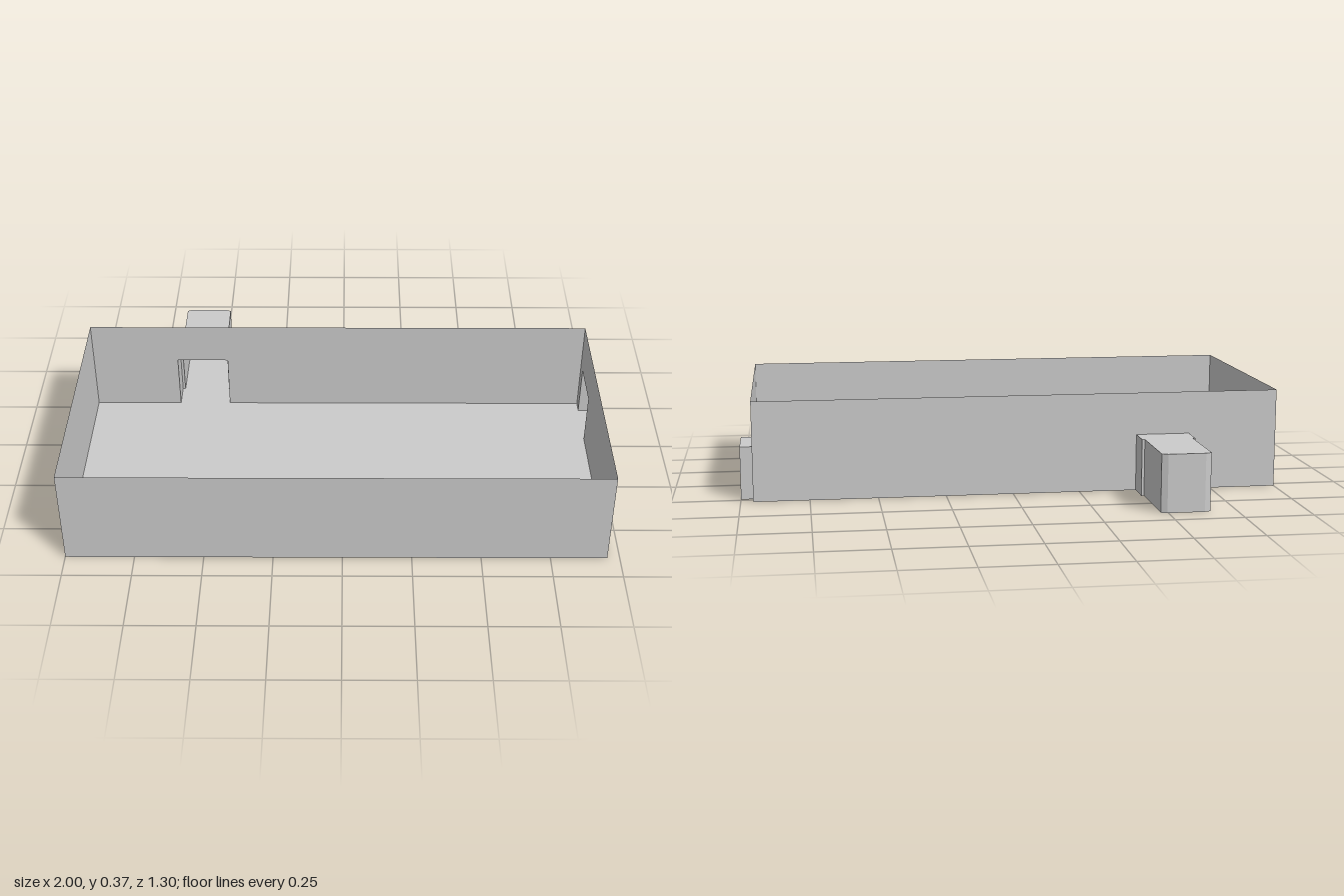
import * as THREE from 'three';
import { mergeGeometries } from 'three/addons/utils/BufferGeometryUtils.js';

const material = new THREE.MeshStandardMaterial({
  color: 0xcccccc, flatShading: true, side: THREE.DoubleSide,
});

const X0 = -1, X1 = 0.955, Z0 = -0.283, Z1 = 0.652, WALL_H = 0.37;

// Thin upright wall from plan point a to b, with an optional doorway [start, end, height]
function wall(a, b, height, door) {
  const length = Math.hypot(b[0] - a[0], b[1] - a[1]);
  const s = new THREE.Shape();
  s.moveTo(0, 0);
  if (door) {
    s.lineTo(door[0], 0);
    s.lineTo(door[0], door[2]);
    s.lineTo(door[1], door[2]);
    s.lineTo(door[1], 0);
  }
  s.lineTo(length, 0);
  s.lineTo(length, height);
  s.lineTo(0, height);
  const g = new THREE.ShapeGeometry(s);
  g.rotateY(-Math.atan2(b[1] - a[1], b[0] - a[0]));
  g.translate(a[0], 0, a[1]);
  return g;
}

// Flat slab of the plan outline at height y
function slab(points, y) {
  const s = new THREE.Shape(points.map(([x, z]) => new THREE.Vector2(x, -z)));
  const g = new THREE.ShapeGeometry(s);
  g.rotateX(-Math.PI / 2);
  g.translate(0, y, 0);
  return g;
}

function part(name, geometries) {
  const mesh = new THREE.Mesh(mergeGeometries(geometries), material);
  mesh.name = name;
  return mesh;
}

// Roofed recess: walls follow the outline, the side from last to first point stays open
function recess(name, points, height) {
  const sides = points.slice(1).map((p, i) => wall(points[i], p, height));
  return part(name, [...sides, slab(points, 0), slab(points, height)]);
}

export function createModel() {
  const group = new THREE.Group();
  group.name = 'room';

  // Open-topped room
  const corners = [[X0, Z0], [X1, Z0], [X1, Z1], [X0, Z1]];
  group.add(part('floor', [slab(corners, 0)]));
  const porchX = -0.564, porchHalf = 0.1, porchH = 0.212;
  const sideDoor = [-0.237, -0.05], sideH = 0.196;
  const doors = [
    [porchX - porchHalf - X0, porchX + porchHalf - X0, porchH],
    [sideDoor[0] - Z0, sideDoor[1] - Z0, sideH],
  ];
  ['backWall', 'leftWall', 'frontWall', 'rightWall'].forEach((name, i) => {
    group.add(part(name, [wall(corners[i], corners[(i + 1) % 4], WALL_H, doors[i])]));
  });

  // Rear passage: wide door frame, narrower corridor, chamfered end
  const half = [[porchHalf, Z0], [porchHalf, -0.38], [0.09, -0.38], [0.09, -0.643], [0.068, -0.652]];
  const passage = [
    ...half.map(([x, z]) => [porchX - x, z]),
    ...half.slice().reverse().map(([x, z]) => [porchX + x, z]),
  ];
  group.add(recess('rearPassage', passage, porchH));

  // Shallow door recess on the side wall
  group.add(recess('sideDoorRecess', [
    [X1, sideDoor[0]], [1, sideDoor[0]], [1, sideDoor[1]], [X1, sideDoor[1]],
  ], sideH));

  return group;
}
